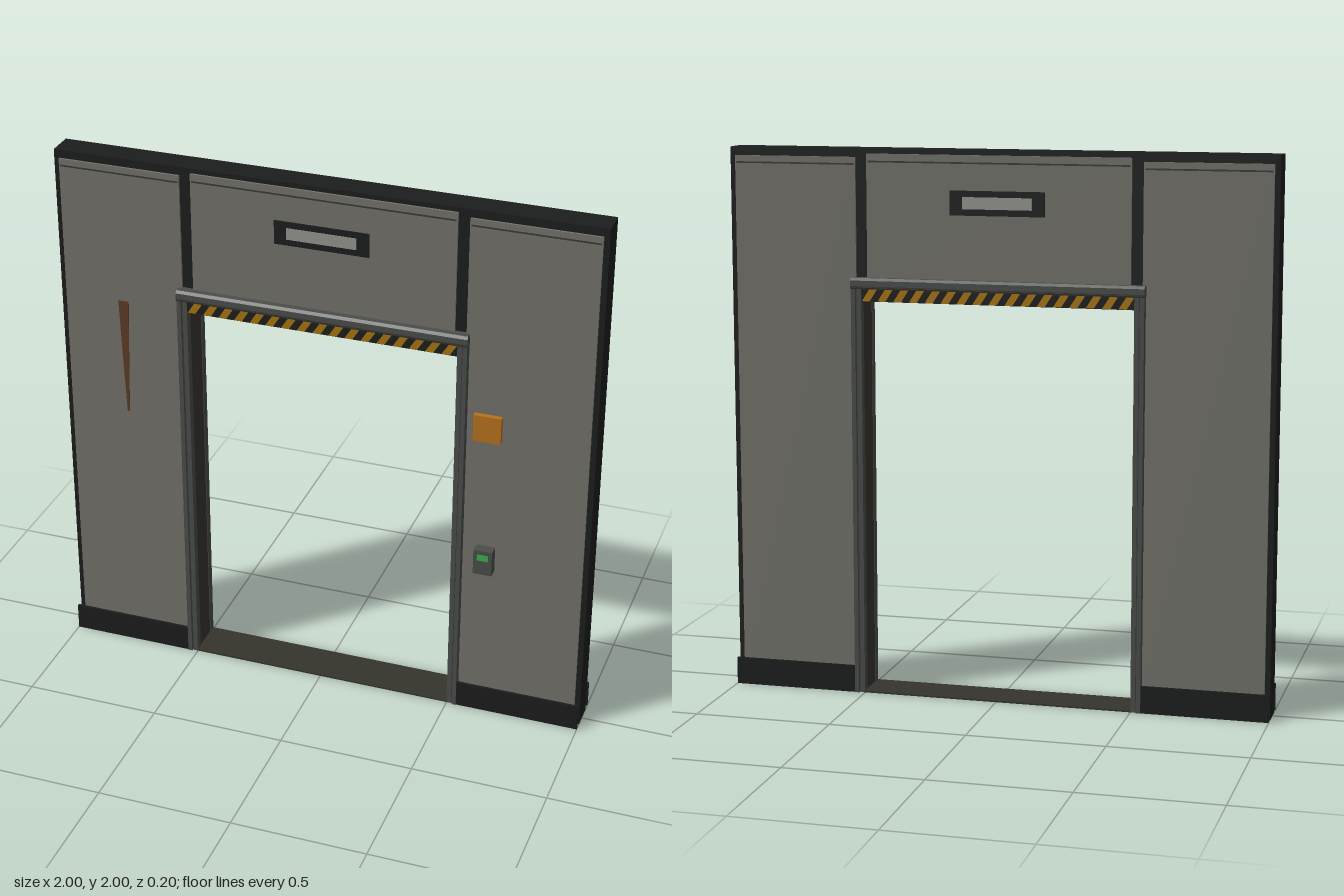
import * as THREE from 'three';

const mat = (color, extra = {}) => new THREE.MeshStandardMaterial({ color, ...extra });

export function createModel() {
  const dark = mat(0x1c1d1d), panelGrey = mat(0x73726b), frameGrey = mat(0x4a4d49);
  const seamGrey = mat(0x3a3a37), liner = mat(0x35342d), lightGrey = mat(0x96968f);
  const yellow = mat(0xa8740f), orange = mat(0xb8721c), green = mat(0x38b050);
  const rust = mat(0x5e3a26, { side: THREE.DoubleSide });

  const model = new THREE.Group();
  model.name = 'doorwayWall';
  // wall body sits slightly behind centre because the wall boxes stick out in front
  const wall = new THREE.Group();
  wall.name = 'wall';
  wall.position.z = -0.008;
  model.add(wall);

  // box given by its minimum and maximum corners
  function box(parent, name, material, x0, x1, y0, y1, z0, z1) {
    const mesh = new THREE.Mesh(new THREE.BoxGeometry(x1 - x0, y1 - y0, z1 - z0), material);
    mesh.position.set((x0 + x1) / 2, (y0 + y1) / 2, (z0 + z1) / 2);
    mesh.name = name;
    parent.add(mesh);
    return mesh;
  }

  // flat polygon extruded towards +z from z0
  function plate(parent, name, material, points, z0, depth) {
    const shape = new THREE.Shape(points.map(([x, y]) => new THREE.Vector2(x, y)));
    const mesh = new THREE.Mesh(
      new THREE.ExtrudeGeometry(shape, { depth, bevelEnabled: false }), material);
    mesh.position.z = z0;
    mesh.name = name;
    parent.add(mesh);
    return mesh;
  }

  // structural core: an arch-shaped slab open at the floor
  plate(wall, 'core', dark, [
    [-1, 0], [-0.51, 0], [-0.51, 1.5], [0.51, 1.5],
    [0.51, 0], [1, 0], [1, 2], [-1, 2],
  ], -0.05, 0.1);

  // lining of the opening and the floor plate
  for (const s of [-1, 1]) {
    const a = s * 0.502, b = s * 0.53;
    box(wall, 'revealLiner', liner, Math.min(a, b), Math.max(a, b), 0, 1.5, -0.075, 0.075);
  }
  box(wall, 'threshold', liner, -0.502, 0.502, 0, 0.006, -0.08, 0.08);

  // everything that repeats on the front and back faces
  function buildFace(name) {
    const face = new THREE.Group();
    face.name = name;

    for (const s of [-1, 1]) {
      const sided = (part, material, xa, xb, ...rest) =>
        box(face, part, material, Math.min(s * xa, s * xb), Math.max(s * xa, s * xb), ...rest);
      // cladding panel with its seam
      sided('sidePanel', panelGrey, 0.525, 0.98, 0, 1.97, 0.045, 0.058);
      sided('sidePanelSeam', seamGrey, 0.53, 0.975, 1.942, 1.948, 0.05, 0.059);
      // skirting board standing off the panel
      sided('skirting', dark, 0.535, 1, 0, 0.1, 0.073, 0.083);
      // stepped door jamb
      sided('jambInner', frameGrey, 0.5, 0.517, 0, 1.5, 0.05, 0.08);
      sided('jambGroove', seamGrey, 0.515, 0.523, 0, 1.5, 0.05, 0.076);
      sided('jambOuter', frameGrey, 0.521, 0.537, 0, 1.5, 0.05, 0.086);
    }

    // panel above the door
    box(face, 'headPanel', panelGrey, -0.483, 0.483, 1.53, 1.983, 0.045, 0.058);
    box(face, 'headPanelSeam', seamGrey, -0.478, 0.478, 1.952, 1.958, 0.05, 0.059);

    // sign with a light bar
    box(face, 'signFrame', dark, -0.173, 0.173, 1.77, 1.858, 0.05, 0.063);
    box(face, 'signBar', lightGrey, -0.127, 0.127, 1.793, 1.836, 0.05, 0.065);

    // header beam: cross-section swept along x
    const section = new THREE.Shape([
      [0.045, 1.5], [0.086, 1.5], [0.09, 1.506], [0.09, 1.531], [0.081, 1.54], [0.045, 1.54],
    ].map(([z, y]) => new THREE.Vector2(-z, y)));
    const header = new THREE.Mesh(
      new THREE.ExtrudeGeometry(section, { depth: 1.076, bevelEnabled: false }), frameGrey);
    header.rotation.y = Math.PI / 2;
    header.position.x = -0.538;
    header.name = 'headerBeam';
    face.add(header);
    box(face, 'headerGroove', seamGrey, -0.537, 0.537, 1.507, 1.511, 0.05, 0.091);

    // hanging hazard strip with slanted stripes
    box(face, 'hazardStrip', dark, -0.5, 0.5, 1.455, 1.502, 0.066, 0.077);
    const count = 17, pitch = 1 / count;
    for (let i = 0; i < count; i++) {
      const x = -0.498 + i * pitch, w = pitch * 0.5, lean = pitch * 0.48;
      plate(face, 'hazardStripe', yellow,
        [[x, 1.456], [x + w, 1.456], [x + w + lean, 1.5], [x + lean, 1.5]], 0.076, 0.002);
    }
    return face;
  }

  const front = buildFace('frontFace');
  const back = buildFace('backFace');
  back.rotation.y = Math.PI;
  wall.add(front, back);

  // rust streak running down the right-hand front panel
  plate(front, 'rustStreak', rust,
    [[-0.775, 1.45], [-0.767, 1.22], [-0.758, 1], [-0.75, 1], [-0.743, 1.22], [-0.735, 1.45]],
    0.057, 0.003);

  // junction box on a small mount
  box(front, 'junctionBoxMount', dark, 0.59, 0.655, 1.175, 1.235, 0.055, 0.088);
  box(front, 'junctionBox', orange, 0.572, 0.673, 1.153, 1.254, 0.085, 0.105);

  // door control with a lit screen
  box(front, 'controlPad', frameGrey, 0.588, 0.657, 0.604, 0.702, 0.057, 0.099);
  box(front, 'controlScreen', green, 0.602, 0.643, 0.662, 0.686, 0.09, 0.101);

  return model;
}
